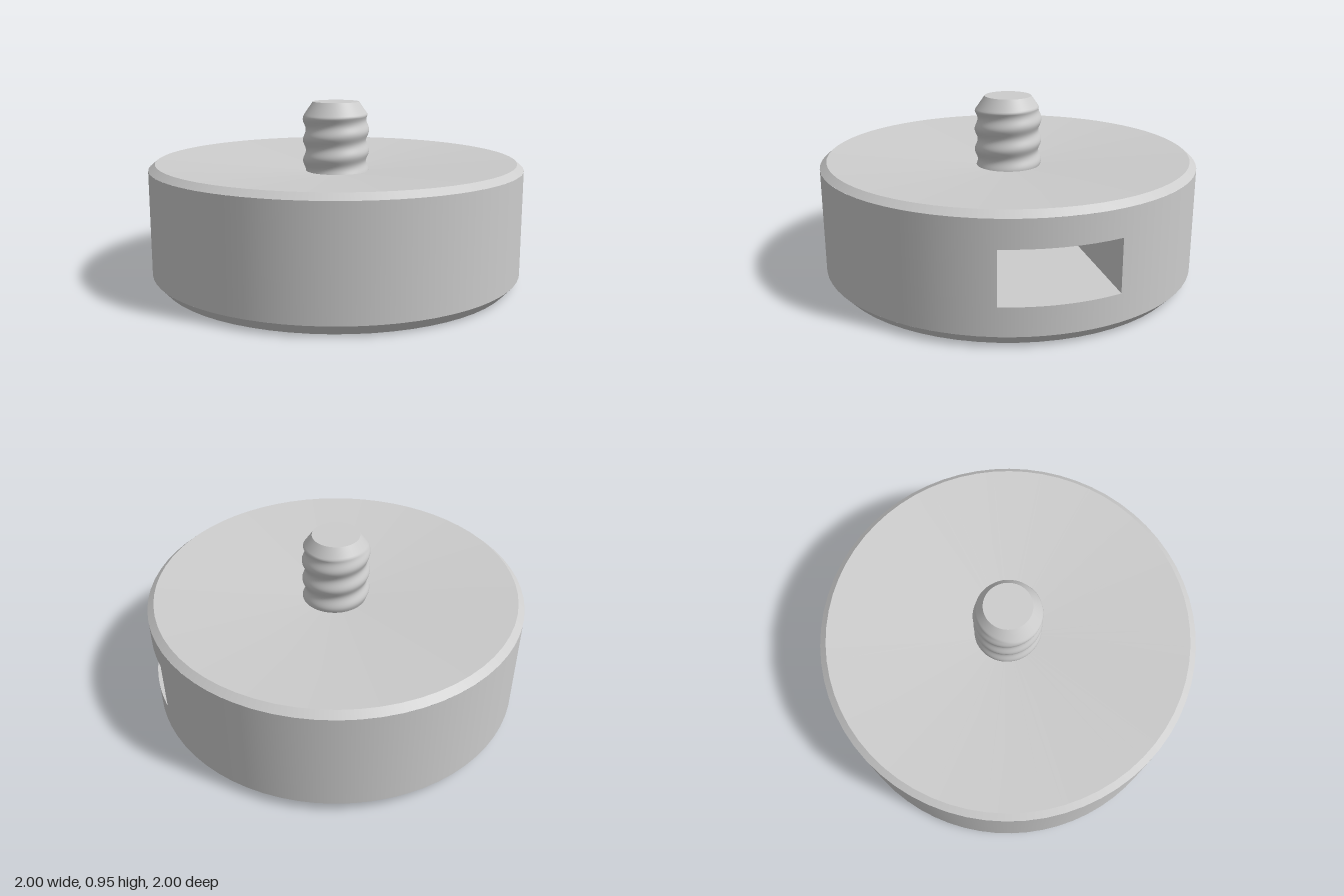
import * as THREE from 'three';
import { mergeVertices } from 'three/addons/utils/BufferGeometryUtils.js';

const SEGMENTS = 64;
const SLOT_LOW = 0.2, SLOT_HIGH = 0.47, SLOT_HALF = 0.29;
const HOLE_RADIUS = 0.172;
const DISH_LOW = 0.575; // height of the dished top where it meets the stud

export function createModel() {
  const model = new THREE.Group();
  const grey = new THREE.MeshStandardMaterial({ color: 0xcccccc });
  grey.name = 'grey';

  const add = (name, geometry, parent) => {
    const mesh = new THREE.Mesh(geometry, grey);
    mesh.name = name;
    parent.add(mesh);
    return mesh;
  };

  // Surface of revolution between two (radius, height) points
  const band = (r1, y1, r2, y2, segments = SEGMENTS, start = 0, length = Math.PI * 2) =>
    new THREE.LatheGeometry(
      [new THREE.Vector2(r1, y1), new THREE.Vector2(r2, y2)], segments, start, length);

  // Horizontal face at a given height, facing up or down
  const flat = (shape, y, up) =>
    new THREE.ShapeGeometry(shape, SEGMENTS).rotateX(up ? -Math.PI / 2 : Math.PI / 2).translate(0, y, 0);

  const disc = (radius) => new THREE.Shape().absarc(0, 0, radius, 0, Math.PI * 2, false);
  const hole = () => new THREE.Path().absarc(0, 0, HOLE_RADIUS, 0, Math.PI * 2, true);

  // Round body with chamfered rims and a shallow conical dish on top
  const body = new THREE.Group();
  body.name = 'body';
  model.add(body);
  const slotAngle = Math.asin(SLOT_HALF);
  const arcStart = Math.PI / 2 + slotAngle, arcLength = Math.PI * 2 - slotAngle * 2;
  add('bottomChamfer', band(0.95, 0, 1, 0.055), body);
  add('mainWall', new THREE.LatheGeometry(
    [0.055, SLOT_LOW, SLOT_HIGH, 0.61].map((y) => new THREE.Vector2(1, y)),
    SEGMENTS, arcStart, arcLength), body);
  // Wall strips below and above the slot
  for (const [low, high] of [[0.055, SLOT_LOW], [SLOT_HIGH, 0.61]]) {
    add('slotRimWall', band(1, low, 1, high, 8, Math.PI / 2 - slotAngle, slotAngle * 2), body);
  }
  add('topChamfer', band(1, 0.61, 0.965, 0.64), body);
  add('dishedTop', band(0.965, 0.64, 0.15, DISH_LOW), body);
  const bottom = disc(0.95);
  bottom.holes.push(hole());
  add('bottomFace', flat(bottom, 0, false), body);
  add('boltHole', band(HOLE_RADIUS, SLOT_LOW, HOLE_RADIUS, 0), body);

  // Nut slot: straight sides ending in half a hexagon
  const slot = new THREE.Group();
  slot.name = 'nutSlot';
  model.add(slot);
  const mouth = Math.cos(slotAngle);
  const hexRadius = SLOT_HALF / Math.cos(Math.PI / 6);
  const outline = [
    [mouth, SLOT_HALF], [-hexRadius / 2, SLOT_HALF], [-hexRadius, 0],
    [-hexRadius / 2, -SLOT_HALF], [mouth, -SLOT_HALF],
  ];
  const slotShape = () => {
    const shape = new THREE.Shape();
    shape.moveTo(...outline[0]);
    outline.slice(1).forEach((p) => shape.lineTo(...p));
    shape.absarc(0, 0, 1, -slotAngle, slotAngle, false);
    return shape;
  };
  const floor = slotShape();
  floor.holes.push(hole());
  add('slotFloor', flat(floor, SLOT_LOW, true), slot);
  add('slotCeiling', flat(slotShape(), SLOT_HIGH, false), slot);
  for (let i = 0; i < outline.length - 1; i++) {
    const [x1, z1] = outline[i], [x2, z2] = outline[i + 1];
    const dx = x2 - x1, dz = z2 - z1;
    const wall = add('slotWall',
      new THREE.PlaneGeometry(Math.hypot(dx, dz), SLOT_HIGH - SLOT_LOW), slot);
    wall.position.set((x1 + x2) / 2, (SLOT_LOW + SLOT_HIGH) / 2, (z1 + z2) / 2);
    wall.rotation.y = Math.atan2(-dz, dx);
  }

  // Threaded stud: a helical wave on a cylinder, cut by a cone at the tip
  const STUD_LOW = DISH_LOW, STUD_HIGH = 0.95, PITCH = 0.112, TIP = 0.125;
  const profile = [];
  for (let i = 0; i <= 56; i++) {
    profile.push(new THREE.Vector2(1, STUD_LOW + ((STUD_HIGH - STUD_LOW) * i) / 56));
  }
  let thread = new THREE.LatheGeometry(profile, 64);
  const pos = thread.attributes.position;
  for (let i = 0; i < pos.count; i++) {
    const x = pos.getX(i), y = pos.getY(i), z = pos.getZ(i);
    const angle = Math.atan2(-z, x);
    const wave = 0.172 + 0.008 * Math.cos(((y - 0.69) / PITCH) * Math.PI * 2 - angle);
    const r = Math.min(wave, TIP + (STUD_HIGH - y) * 0.7);
    pos.setXYZ(i, x * r, y, z * r);
  }
  thread.deleteAttribute('uv');
  thread.deleteAttribute('normal');
  thread = mergeVertices(thread, 1e-5);
  thread.computeVertexNormals();
  const stud = new THREE.Group();
  stud.name = 'stud';
  model.add(stud);
  add('studThread', thread, stud);
  add('studTip', flat(disc(TIP), STUD_HIGH, true), stud);

  return model;
}
